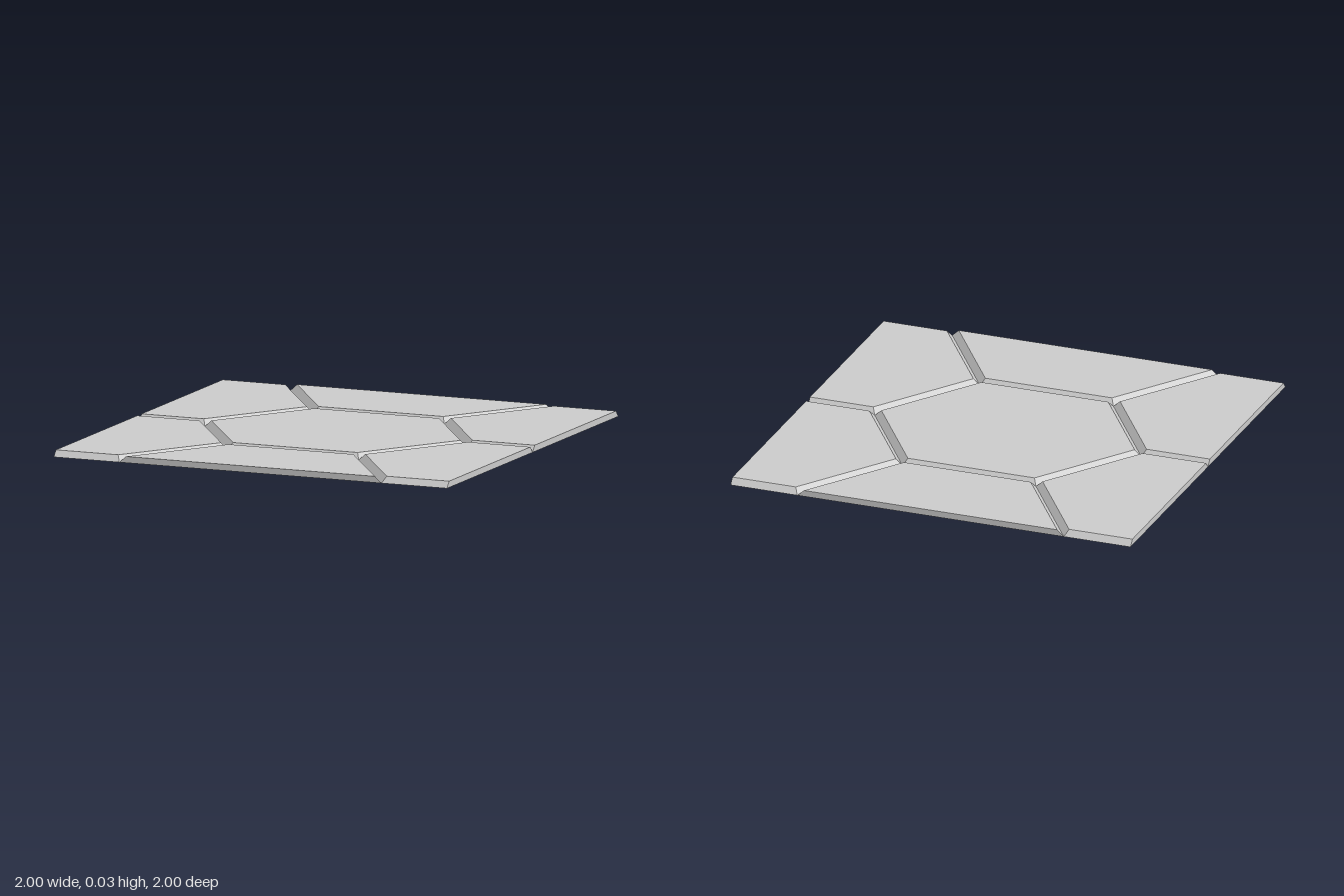
import * as THREE from 'three';

const HEIGHT = 0.03; // slab thickness
const TAPER = 0.95;  // top outline relative to the base outline

// Base outline of one full hexagonal tile, as [x, z]
const HEX = [[2 / 3, 0], [1 / 3, 0.5], [-1 / 3, 0.5], [-2 / 3, 0], [-1 / 3, -0.5], [1 / 3, -0.5]];

const material = new THREE.MeshStandardMaterial({ color: 0xcccccc, flatShading: true });

// A bevelled tile centred on (cx, cz), cut off where it would leave the 2 x 2 square
function makeTile(name, cx, cz) {
  const clip = (v, c) => THREE.MathUtils.clamp(v, -1 - c, 1 - c);
  const outline = HEX.map(([x, z]) => new THREE.Vector2(clip(x, cx), -clip(z, cz)));
  const geometry = new THREE.ExtrudeGeometry(new THREE.Shape(outline), { depth: HEIGHT, bevelEnabled: false });
  geometry.rotateX(-Math.PI / 2);

  // Shrink the top face so the sides slope into V grooves
  const pos = geometry.attributes.position;
  for (let i = 0; i < pos.count; i++) {
    if (pos.getY(i) > HEIGHT / 2) {
      pos.setX(i, pos.getX(i) * TAPER);
      pos.setZ(i, pos.getZ(i) * TAPER);
    }
  }
  geometry.computeVertexNormals();

  const tile = new THREE.Mesh(geometry, material);
  tile.name = name;
  tile.position.set(cx, 0, cz);
  return tile;
}

export function createModel() {
  const model = new THREE.Group();
  model.name = 'hexagonFloorPanel';

  // Whole tile in the middle, half tiles at front and back
  model.add(makeTile('centreTile', 0, 0));
  model.add(makeTile('frontHalfTile', 0, 1));
  model.add(makeTile('backHalfTile', 0, -1));

  // Half tiles along the left and right edges
  for (const [side, x] of [['left', 1], ['right', -1]]) {
    model.add(makeTile(side + 'FrontHalfTile', x, 0.5));
    model.add(makeTile(side + 'BackHalfTile', x, -0.5));
  }
  return model;
}
